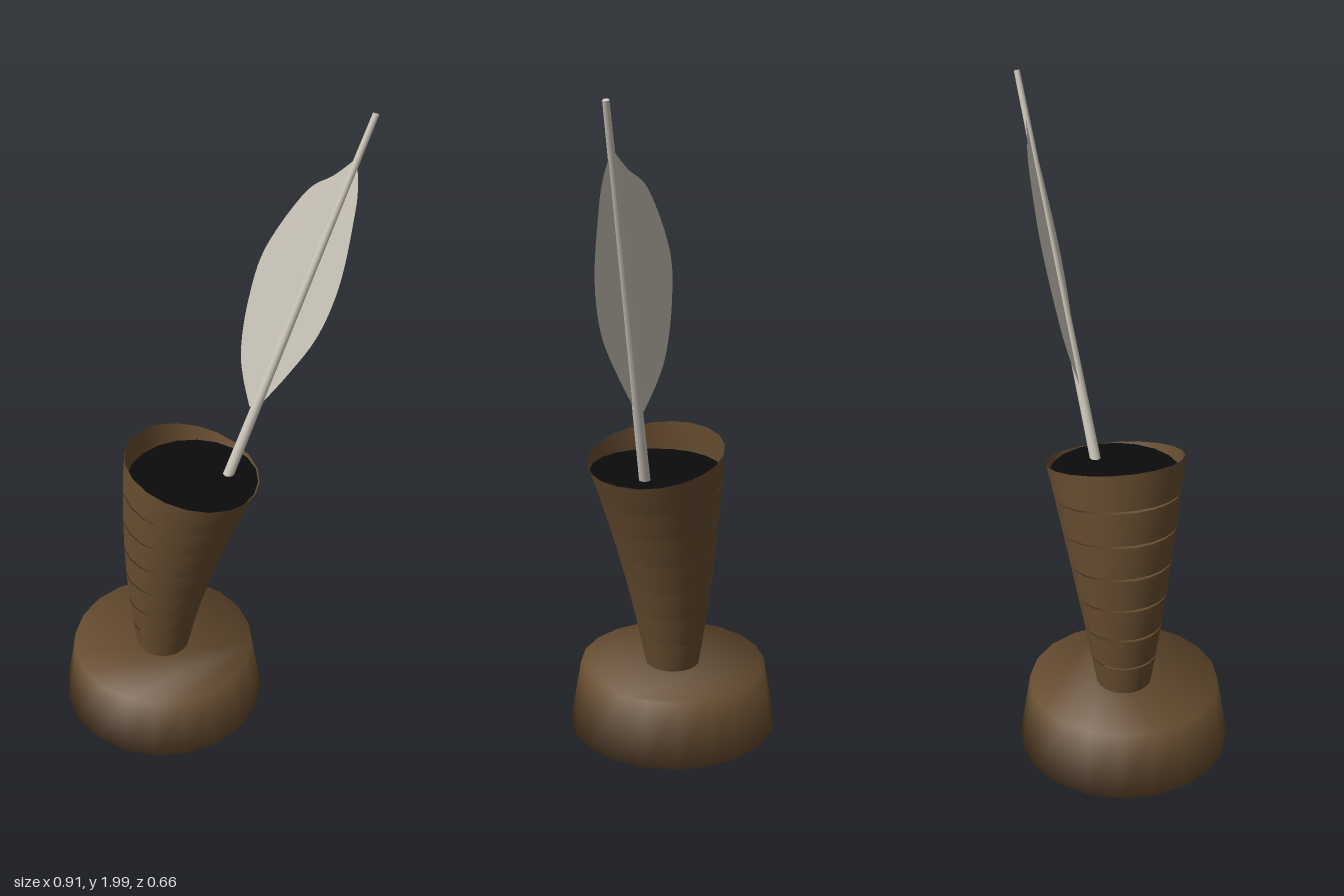
import * as THREE from 'three';

const SIDES = 20;
const brown = new THREE.MeshStandardMaterial({ color: 0x674d30, side: THREE.DoubleSide });
brown.name = 'hornBrown';
const black = new THREE.MeshStandardMaterial({ color: 0x0b0b0b, side: THREE.DoubleSide });
black.name = 'inkBlack';
const ivory = new THREE.MeshStandardMaterial({ color: 0xcdc7bb, side: THREE.DoubleSide });
ivory.name = 'featherIvory';

function addMesh(group, name, geometry, material) {
  const mesh = new THREE.Mesh(geometry, material);
  mesh.name = name;
  group.add(mesh);
  return mesh;
}

// Joins closed rings of points into a smooth tube, with optional flat end caps
function ringTube(rings, caps) {
  const positions = [], index = [], n = SIDES;
  rings.forEach(ring => ring.forEach(p => positions.push(...p)));
  for (let r = 0; r < rings.length - 1; r++) {
    for (let i = 0; i < n; i++) {
      const j = (i + 1) % n, a = r * n, b = a + n;
      index.push(a + i, b + i, a + j, b + i, b + j, a + j);
    }
  }
  if (caps) {
    const top = (rings.length - 1) * n;
    for (let i = 1; i < n - 1; i++) {
      index.push(0, i, i + 1, top, top + i + 1, top + i);
    }
  }
  const geometry = new THREE.BufferGeometry();
  geometry.setAttribute('position', new THREE.Float32BufferAttribute(positions, 3));
  geometry.setIndex(index);
  geometry.computeVertexNormals();
  return geometry;
}

// Ring of points around (x, y), tilted towards +x, its -x side lowered by gap
function ring(x, y, radius, tilt = 0, gap = 0) {
  return Array.from({ length: SIDES }, (_, i) => {
    const a = i / SIDES * Math.PI * 2, c = Math.cos(a);
    return [
      x + radius * c * Math.cos(tilt),
      y - radius * c * Math.sin(tilt) - gap * Math.max(0, -c),
      radius * Math.sin(a),
    ];
  });
}

// Base: tapered block whose normals are softened over both rims
function makeBase() {
  const geometry = ringTube([ring(-0.13, 0, 0.33), ring(-0.13, 0.205, 0.295)], true);
  const normals = geometry.attributes.normal;
  for (let i = 0; i < normals.count; i++) {
    const a = i / SIDES * Math.PI * 2;
    const up = i < SIDES ? -0.83 : 1.17;
    const v = new THREE.Vector3(0.985 * Math.cos(a), up, 0.985 * Math.sin(a)).normalize();
    normals.setXYZ(i, v.x, v.y, v.z);
  }
  return geometry;
}

// Horn: stacked bands that bend towards +x, with slits on the outer curve
function makeHorn() {
  const horn = new THREE.Group();
  horn.name = 'horn';
  const bands = 7;
  const section = (t, gap) =>
    ring(-0.13 + 0.02 * t + 0.08 * t * t, 0.2 + 0.728 * t, 0.085 + 0.125 * t, 0.227 * t, gap);
  for (let i = 0; i < bands; i++) {
    const gap = i < bands - 1 ? 0.008 : 0;
    const rings = [section(i / bands, 0), section((i + 1) / bands, gap)];
    addMesh(horn, 'hornBand' + (i + 1), ringTube(rings, false), brown);
  }
  return horn;
}

// Quill: tapered shaft through a flat vane
function makeQuill() {
  const quill = new THREE.Group();
  quill.name = 'quill';
  const shaftAt = y => new THREE.Vector3(0.085 + 0.33 * (y - 0.9), y, -0.035 - 0.119 * (y - 0.9));

  const low = shaftAt(0.86), high = shaftAt(1.99);
  const shaft = addMesh(quill, 'shaft',
    new THREE.CylinderGeometry(0.009, 0.017, low.distanceTo(high), 12), ivory);
  shaft.position.addVectors(low, high).multiplyScalar(0.5);
  shaft.quaternion.setFromUnitVectors(new THREE.Vector3(0, 1, 0), high.clone().sub(low).normalize());

  const outline = new THREE.Shape();
  outline.moveTo(0.135, 1.11);
  outline.splineThru([
    [0.112, 1.2], [0.105, 1.285], [0.122, 1.425], [0.165, 1.58], [0.27, 1.755], [0.345, 1.815], [0.402, 1.87],
  ].map(p => new THREE.Vector2(...p)));
  outline.splineThru([
    [0.41, 1.8], [0.406, 1.72], [0.378, 1.53], [0.325, 1.37], [0.245, 1.235], [0.158, 1.11],
  ].map(p => new THREE.Vector2(...p)));
  const vane = new THREE.ShapeGeometry(outline, 5);
  // Turn the vane about the shaft
  const pos = vane.attributes.position;
  for (let i = 0; i < pos.count; i++) {
    const s = shaftAt(pos.getY(i));
    pos.setZ(i, s.z + 0.4 * (pos.getX(i) - s.x));
  }
  vane.computeVertexNormals();
  addMesh(quill, 'vane', vane, ivory);
  return quill;
}

export function createModel() {
  const model = new THREE.Group();
  model.name = 'inkHorn';
  addMesh(model, 'base', makeBase(), brown);
  model.add(makeHorn());

  // Ink surface just under the low side of the rim
  const ink = addMesh(model, 'ink', new THREE.CircleGeometry(0.2, SIDES), black);
  ink.rotation.x = -Math.PI / 2;
  ink.position.set(-0.03, 0.882, 0);

  model.add(makeQuill());
  return model;
}
